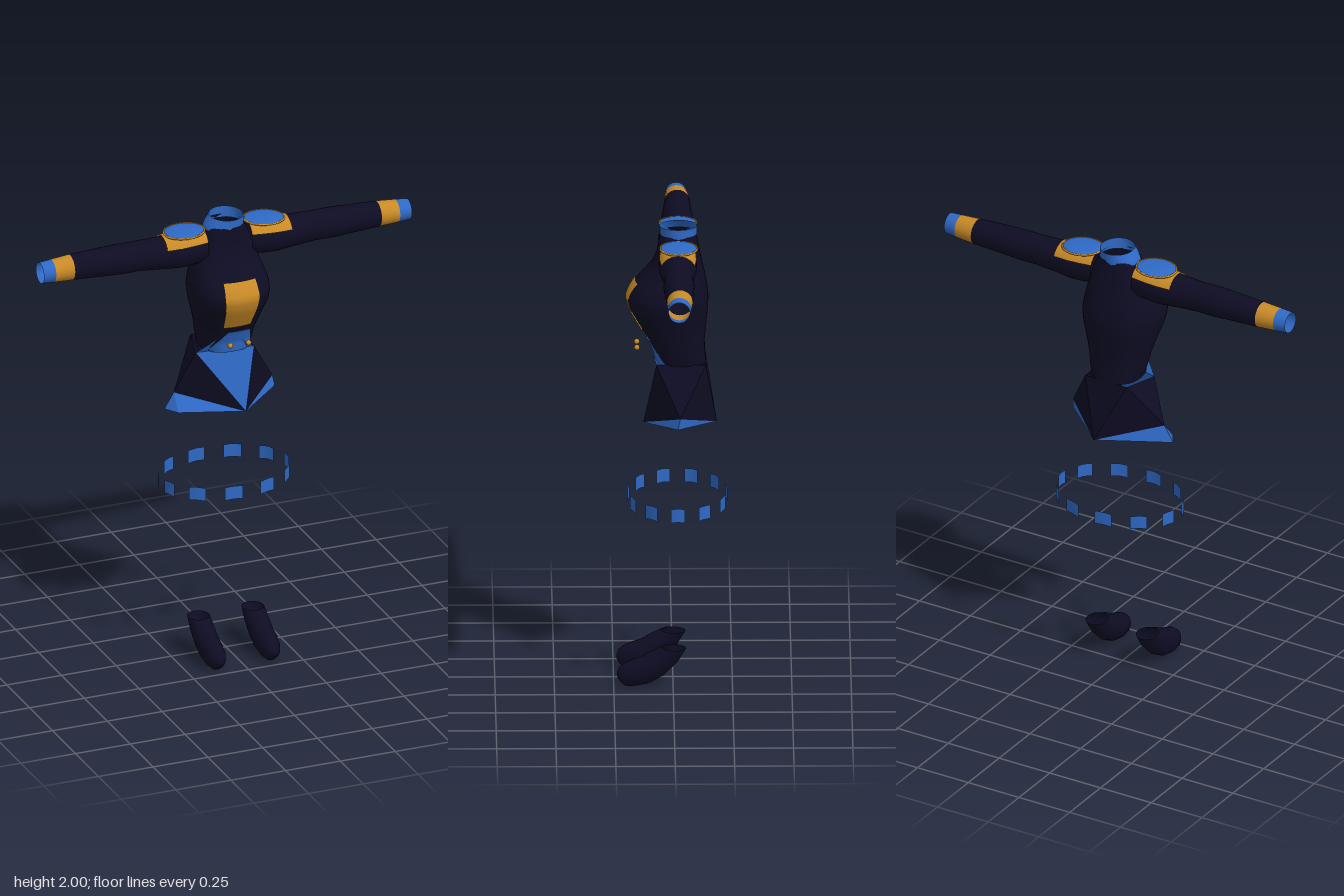
import * as THREE from 'three';

const flat = (name, color) => {
  const m = new THREE.MeshStandardMaterial({ color, side: THREE.DoubleSide });
  m.name = name;
  return m;
};
const V = (x, y, z) => new THREE.Vector3(x, y, z);

// Smooth skin through rings of points; skip(center) leaves holes
function loft(rings, closed = true, skip = null) {
  const n = rings[0].length, pts = rings.flat(), idx = [];
  for (let i = 0; i < rings.length - 1; i++) {
    for (let j = 0; j < (closed ? n : n - 1); j++) {
      const k = (j + 1) % n;
      const a = i * n + j, b = i * n + k, c = a + n, d = b + n;
      if (skip && skip(pts[a].clone().add(pts[d]).multiplyScalar(0.5))) continue;
      idx.push(a, c, b, b, c, d);
    }
  }
  const g = new THREE.BufferGeometry().setFromPoints(pts);
  g.setIndex(idx);
  g.computeVertexNormals();
  return g;
}

// Flat triangles from corner points
function facets(tris) {
  const g = new THREE.BufferGeometry().setFromPoints(tris.flat());
  g.computeVertexNormals();
  return g;
}

// Linear interpolation in a table whose first column is the key
function sample(table, key) {
  const up = table[0][0] < table[table.length - 1][0];
  let i = 0;
  while (i < table.length - 2 && (up ? key > table[i + 1][0] : key < table[i + 1][0])) i++;
  const t = (key - table[i][0]) / (table[i + 1][0] - table[i][0]);
  return table[i].map((v, c) => v + (table[i + 1][c] - v) * t);
}

const range = (a, b, n) => Array.from({ length: n + 1 }, (_, i) => a + (b - a) * i / n);

// Torso: y, half width, back z, front z
const TORSO = [
  [1.965, 0.08, -0.10, 0.055], [1.93, 0.10, -0.105, 0.06], [1.88, 0.12, -0.115, 0.068],
  [1.83, 0.135, -0.125, 0.09], [1.78, 0.15, -0.137, 0.135], [1.735, 0.165, -0.145, 0.175],
  [1.69, 0.172, -0.15, 0.196], [1.64, 0.165, -0.148, 0.183], [1.59, 0.15, -0.143, 0.155],
  [1.54, 0.137, -0.138, 0.125], [1.5, 0.128, -0.134, 0.10], [1.45, 0.12, -0.135, 0.08],
  [1.405, 0.108, -0.14, 0.075]];
const POW = 2.4;
const spow = v => Math.sign(v) * Math.abs(v) ** (2 / POW);
function torsoRing(y) {
  const [, w, zb, zf] = sample(TORSO, y);
  return range(0, 2 * Math.PI, 40).slice(0, 40).map(a =>
    V(w * spow(Math.cos(a)), y, (zb + zf) / 2 + (zf - zb) / 2 * spow(Math.sin(a))));
}
// Patch lying on the torso front; rows are y, x from, x to
function frontPatch(rows, lift) {
  return loft(range(rows[0][0], rows[rows.length - 1][0], 12).map(y => {
    const [, x0, x1] = sample(rows, y), [, w, zb, zf] = sample(TORSO, y);
    return range(x0, x1, 12).map(x => {
      const r = Math.max(0, 1 - Math.abs(x / w) ** POW) ** (1 / POW);
      return V(x, y, (zb + zf) / 2 + (zf - zb) / 2 * r + lift);
    });
  }), false);
}

// Sleeve: x, centre y, radius y, centre z, radius z
const SLEEVE = [
  [0.1, 1.88, 0.072, -0.02, 0.075], [0.15, 1.876, 0.076, -0.02, 0.08], [0.22, 1.872, 0.076, -0.02, 0.08],
  [0.3, 1.872, 0.069, -0.02, 0.07], [0.4, 1.875, 0.065, -0.022, 0.062], [0.48, 1.875, 0.065, -0.022, 0.066],
  [0.55, 1.876, 0.062, -0.022, 0.062], [0.7, 1.876, 0.055, -0.024, 0.055], [0.78, 1.875, 0.05, -0.022, 0.05],
  [0.84, 1.875, 0.045, -0.02, 0.045]];
function sleevePart(s, x0, x1, n, a0 = 0, a1 = 2 * Math.PI, grow = 0) {
  const closed = a1 - a0 > 6;
  return loft(range(x0, x1, n).map(x => {
    const [, cy, ry, cz, rz] = sample(SLEEVE, x);
    const angles = range(a0, a1, 24);
    if (closed) angles.pop();
    return angles.map(a => V(s * x, cy + (ry + grow) * Math.sin(a), cz + (rz + grow) * Math.cos(a)));
  }), closed);
}

// Boot: top z, top y, bottom z, bottom y, half width
const BOOT = [
  [0.05, 0.172, -0.055, 0.168, 0.047], [0.09, 0.155, -0.02, 0.11, 0.05], [0.13, 0.132, 0.04, 0.05, 0.05],
  [0.17, 0.118, 0.10, 0.016, 0.049], [0.205, 0.103, 0.16, 0.004, 0.045], [0.228, 0.085, 0.2, 0.003, 0.034],
  [0.236, 0.062, 0.226, 0.025, 0.017], [0.236, 0.045, 0.236, 0.045, 0]];

export function createModel() {
  const root = new THREE.Group();
  const navy = flat('dark navy', 0x0e0c23);
  const blue = flat('royal blue', 0x2f69c6);
  const gold = flat('gold', 0xc88a27);
  const add = (name, geo, mat) => {
    const m = new THREE.Mesh(geo, mat);
    m.name = name;
    root.add(m);
    return m;
  };

  // Torso shell with open armholes
  add('torso', loft(range(1.965, 1.405, 42).map(torsoRing), true, c =>
    Math.abs(c.x) > 0.06 && Math.hypot(c.y - 1.877, c.z + 0.02) < 0.045), navy);
  add('bellyPanel', frontPatch([[1.76, -0.072, 0.072], [1.69, -0.078, 0.078], [1.54, -0.063, 0.063]], 0.005), gold);

  // Open collar, leaning slightly
  add('collar', loft([[1.95, -0.092, 0.084], [1.97, -0.085, 0.084], [2.0, -0.062, 0.082]].map(([y, x0, x1]) =>
    range(0, 2 * Math.PI, 28).slice(0, 28).map(a =>
      V((x0 + x1) / 2 + (x1 - x0) / 2 * Math.cos(a), y, -0.023 + 0.079 * Math.sin(a))))), blue);

  // Faceted coat skirt
  const F = V(0.04, 1.14, 0.125), B = V(0.03, 1.14, -0.185);
  const L = V(0.225, 1.21, -0.03), R = V(-0.225, 1.21, -0.03);
  const L2 = V(0.232, 1.165, -0.02), R2 = V(-0.268, 1.14, -0.03), R3 = V(-0.23, 1.14, 0.03);
  const WL = V(0.1, 1.41, 0.07), WR = V(-0.145, 1.4, 0.02);
  const BL = V(0.1, 1.41, -0.138), BR = V(-0.105, 1.41, -0.138);
  add('coatSkirt', facets([[WL, F, L], [WL, L, BL], [BL, L, B], [BL, B, BR], [BR, B, R], [BR, R, WR], [WR, R, F]]), navy);
  add('frontPanelLower', facets([[WR, F, WL], [V(-0.03, 1.51, 0.104), WR, WL]]), blue);
  add('frontPanelUpper', frontPatch([[1.51, -0.035, 0.07], [1.405, -0.104, 0.1]], 0.005), blue);
  add('hemLining', facets([[F, L2, L], [L, L2, B], [F, B, L2], [R, R3, F], [R, R2, R3], [R, B, R2], [R2, B, R3]]), blue);

  // Coat buttons
  for (const x of [-0.043, 0.04]) {
    add('button', new THREE.SphereGeometry(0.012, 14, 10), gold).position.set(x, 1.47, 0.152);
  }

  for (const s of [-1, 1]) {
    // Sleeves with gold band and blue cuff
    add('sleeve', sleevePart(s, 0.1, 0.7, 30), navy);
    add('sleeveBand', sleevePart(s, 0.7, 0.785, 3), gold);
    add('cuff', sleevePart(s, 0.785, 0.84, 3), blue);

    // Shoulder pieces
    add('shoulderCloth', sleevePart(s, 0.1, 0.285, 10, 0.46, Math.PI - 0.46, 0.006), gold);
    const pad = new THREE.Group();
    pad.name = 'epaulette';
    const top = new THREE.Mesh(new THREE.SphereGeometry(1, 32, 12), blue);
    top.name = 'epauletteTop';
    top.scale.set(0.088, 0.012, 0.077);
    const rim = new THREE.Mesh(new THREE.TorusGeometry(1, 0.05, 8, 36).rotateX(Math.PI / 2), gold);
    rim.name = 'epauletteRim';
    rim.scale.set(0.088, 0.09, 0.078);
    pad.add(top, rim);
    pad.position.set(s * 0.182, 1.951, -0.023);
    pad.rotation.z = -s * 0.03;
    root.add(pad);

    // Boots, open at the ankle
    add('boot', loft(BOOT.map(([tz, ty, bz, by, w]) => range(0, 2 * Math.PI, 24).slice(0, 24).map(a =>
      V(s * 0.124 + w * Math.cos(a), (ty + by) / 2 + (ty - by) / 2 * Math.sin(a),
        (tz + bz) / 2 + (tz - bz) / 2 * Math.sin(a))))), navy);
  }

  // Floating ring of curved trim plates
  for (let i = 0; i < 11; i++) {
    const mid = Math.PI / 2 + i * 2 * Math.PI / 11;
    add('trimPlate', loft([0.83, 0.8, 0.77].map(y => range(mid - 0.14, mid + 0.14, 6).map(a =>
      V(0.288 * Math.sin(a), y + 0.004 * Math.cos((a - mid) * 11), -0.02 - 0.21 * Math.cos(a)))), false), blue);
  }
  return root;
}
